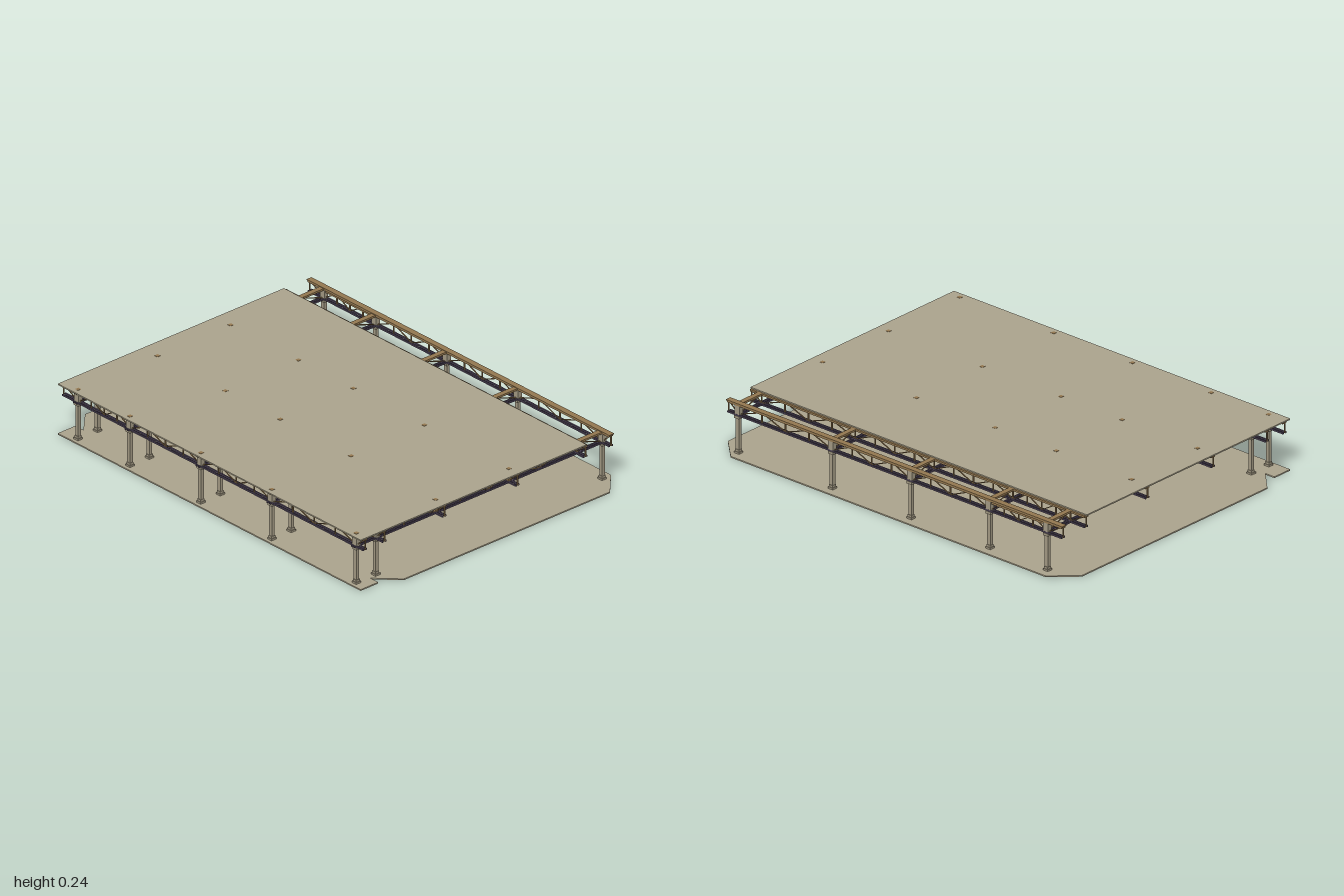
import * as THREE from 'three';

const material = (name, color) => {
  const m = new THREE.MeshStandardMaterial({ color });
  m.name = name;
  return m;
};

export function createModel() {
  const root = new THREE.Group();
  root.name = 'pavilion';
  const concrete = material('pale concrete', 0xaca48d);
  const columnMat = material('column grey', 0xa39a84);
  const timber = material('brown timber', 0x947850);
  const chordMat = material('dark lower chord', 0x50465a);

  const TOP = 0.232, LOW = 0.184;      // chord centre heights
  const rowsZ = [0.89, 0.36, -0.085, -0.53, -0.855];

  const box = (parent, name, mat, size, pos) => {
    const m = new THREE.Mesh(new THREE.BoxGeometry(...size), mat);
    m.position.set(...pos);
    m.name = name;
    parent.add(m);
    return m;
  };

  // Square bar between two points
  const bar = (parent, name, mat, a, b, w) => {
    const mid = a.clone().add(b).multiplyScalar(0.5);
    const m = box(parent, name, mat, [w, w, a.distanceTo(b)], mid.toArray());
    m.lookAt(b);
    return m;
  };

  // Truss along one axis: chords, verticals and zigzag diagonals at the stations
  function truss(name, axis, fixed, start, end, stations, firstLow = true) {
    const g = new THREE.Group();
    g.name = name;
    root.add(g);
    const at = (s, y, off = 0) => axis === 'x'
      ? new THREE.Vector3(s, y, fixed + off) : new THREE.Vector3(fixed + off, y, s);
    const along = (len, h, w) => axis === 'x' ? [len, h, w] : [w, h, len];
    const mid = (start + end) / 2, len = Math.abs(end - start);
    box(g, 'upperChord', timber, along(len, 0.009, 0.025), at(mid, TOP).toArray());
    for (const s of [-1, 1])
      box(g, 'lowerChord', chordMat, along(len, 0.007, 0.007), at(mid, LOW, s * 0.008).toArray());
    stations.forEach((s, i) => {
      bar(g, 'vertical', timber, at(s, LOW), at(s, TOP), 0.005);
      if (i === 0) return;
      const rise = (i % 2 === 1) === firstLow;
      bar(g, 'diagonal', timber, at(stations[i - 1], rise ? LOW : TOP), at(s, rise ? TOP : LOW), 0.004);
    });
  }

  // Floor slab with clipped and notched corners
  const front = [[-0.74, 0.95], [-0.64, 0.95], [-0.64, 0.9], [-0.54, 1], [0.63, 1], [0.735, 0.89]];
  const outline = [...front, ...front.map(([x, z]) => [x, -z]).reverse()];
  const slabGeo = new THREE.ExtrudeGeometry(
    new THREE.Shape(outline.map(([x, z]) => new THREE.Vector2(x, -z))),
    { depth: 0.006, bevelEnabled: false });
  slabGeo.rotateX(-Math.PI / 2);
  const slab = new THREE.Mesh(slabGeo, concrete);
  slab.name = 'floorSlab';
  root.add(slab);

  // Roof panel
  box(root, 'roofPanel', concrete, [1.283, 0.006, 1.9], [-0.0985, 0.239, 0]);

  // Columns with base, capital and a post through the truss depth
  for (const z of rowsZ) for (const x of [-0.71, -0.6, 0.685]) {
    const g = new THREE.Group();
    g.name = 'column';
    g.position.set(x, 0, z);
    root.add(g);
    box(g, 'basePlate', columnMat, [0.027, 0.008, 0.027], [0, 0.01, 0]);
    box(g, 'base', columnMat, [0.021, 0.01, 0.021], [0, 0.019, 0]);
    box(g, 'shaft', columnMat, [0.016, 0.16, 0.018], [0, 0.1, 0]);
    box(g, 'capital', columnMat, [0.026, 0.012, 0.028], [0, 0.174, 0]);
    box(g, 'post', columnMat, [0.022, 0.053, 0.028], [0, 0.207, 0]);
  }

  // Hanging posts at the inner truss crossings
  const innerZ = [0.89, 0.36, -0.085, -0.43, -0.855];
  for (const z of innerZ) for (const x of [-0.26, 0.155])
    box(root, 'hangingPost', timber, [0.018, 0.054, 0.018], [x, 0.21, z]);

  // Post tops showing flush in the roof
  rowsZ.forEach((z, i) => {
    for (const [x, pz] of [[-0.71, z], [-0.26, innerZ[i]], [0.155, innerZ[i]]])
      box(root, 'postTop', timber, [0.018, 0.004, 0.018], [x, 0.241, pz]);
  });

  // Trusses across the building
  const crossStations = [-0.71, -0.6, -0.44, -0.26, -0.12, 0.04, 0.155, 0.32, 0.54, 0.685];
  for (const z of rowsZ)
    truss('crossTruss', 'x', z, -0.73, 0.695, crossStations, false);

  // Trusses along the building, four panels in each bay
  const longStations = [0.945];
  rowsZ.forEach((z, i) => {
    const next = rowsZ[i + 1] ?? -0.945;
    const n = i < rowsZ.length - 1 ? 4 : 1;
    for (let k = 0; k < n; k++) longStations.push(z + (next - z) * k / n);
  });
  longStations.push(-0.945);
  for (const x of [-0.71, -0.6, -0.26, 0.155, 0.54, 0.685])
    truss('longTruss', 'z', x, 0.945, -0.945, longStations, false);

  // Wider cap on the open outer truss and a short rail in its rear bay
  box(root, 'outerCap', timber, [0.028, 0.004, 1.9], [0.685, 0.2375, 0]);
  box(root, 'rearRail', timber, [0.01, 0.008, 0.325], [0.685, 0.219, -0.6925]);

  return root;
}
